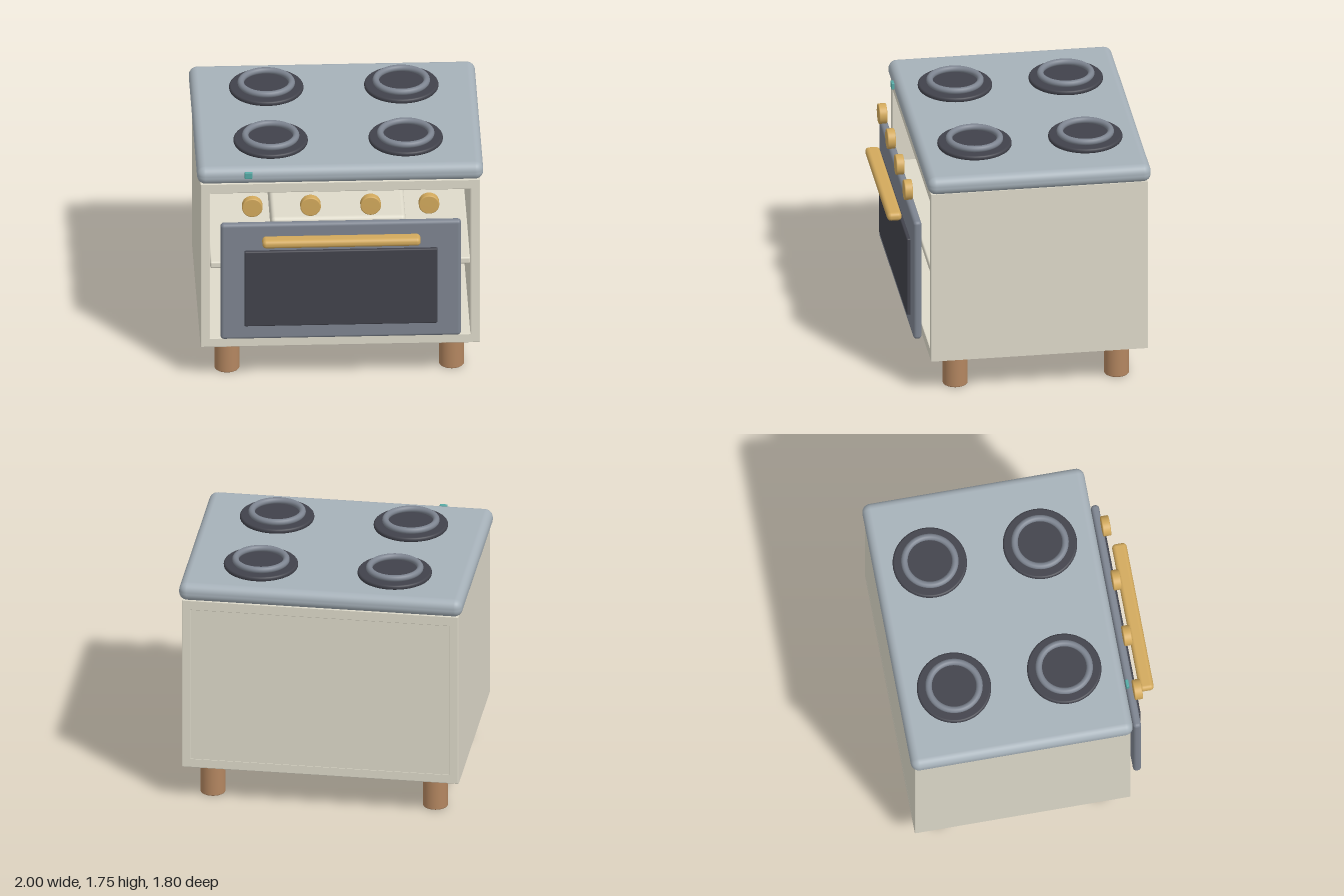
import * as THREE from 'three';
import { RoundedBoxGeometry } from 'three/addons/geometries/RoundedBoxGeometry.js';

const paint = (color) => new THREE.MeshStandardMaterial({ color });

export function createModel() {
  const cream = paint(0xdedaca), steel = paint(0xa6b1b9), slate = paint(0x7d8490);
  const dark = paint(0x41424b), brass = paint(0xd2a95c), wood = paint(0xb38660), teal = paint(0x55aaa5);
  const model = new THREE.Group();

  const add = (name, geometry, material, x = 0, y = 0, z = 0, parent = model) => {
    const mesh = new THREE.Mesh(geometry, material);
    mesh.name = name;
    mesh.position.set(x, y, z);
    parent.add(mesh);
    return mesh;
  };

  // Rounded box given by its limits on each axis
  const block = (name, material, [x0, x1], [y0, y1], [z0, z1], radius) =>
    add(name, new RoundedBoxGeometry(x1 - x0, y1 - y0, z1 - z0, 4, radius), material,
      (x0 + x1) / 2, (y0 + y1) / 2, (z0 + z1) / 2);

  // Upright disc with softened rims
  const softDisc = (radius, height, bevel) => {
    const points = [new THREE.Vector2(0, 0)];
    for (const [cy, start] of [[bevel, -Math.PI / 2], [height - bevel, 0]]) {
      for (let i = 0; i <= 4; i++) {
        const a = start + (i / 4) * Math.PI / 2;
        points.push(new THREE.Vector2(radius - bevel + Math.cos(a) * bevel, cy + Math.sin(a) * bevel));
      }
    }
    points.push(new THREE.Vector2(0, height));
    return new THREE.LatheGeometry(points, 48);
  };

  const rectangle = (Type, x, y0, y1) => {
    const path = new Type();
    path.moveTo(-x, y0);
    path.lineTo(x, y0);
    path.lineTo(x, y1);
    path.lineTo(-x, y1);
    path.closePath();
    return path;
  };

  // Open-fronted cabinet: four walls in one ring, closed at the back
  const ring = rectangle(THREE.Shape, 0.97, 0.27, 1.55);
  ring.holes.push(rectangle(THREE.Path, 0.915, 0.33, 1.485));
  add('cabinetWalls', new THREE.ExtrudeGeometry(ring, {
    depth: 1.52, bevelThickness: 0.006, bevelSize: 0.006, bevelSegments: 2,
  }), cream, 0, 0, -0.871);
  block('cabinetBack', cream, [-0.93, 0.93], [0.31, 1.5], [-0.876, -0.81], 0.005);

  // Inside the cabinet
  block('ovenShelf', cream, [-0.908, 0.908], [0.88, 0.93], [-0.82, 0.64], 0.012);
  block('ovenDish', cream, [-0.47, 0.47], [0.93, 1.1], [-0.54, 0.33], 0.03);

  // Cooktop
  block('cooktop', steel, [-1, 1], [1.55, 1.68], [-0.9, 0.675], 0.058);

  // Burners
  for (const x of [-0.472, 0.472]) {
    for (const z of [-0.507, 0.275]) {
      const burner = new THREE.Group();
      burner.name = 'burner';
      burner.position.set(x, 1.678, z);
      model.add(burner);
      add('burnerPlate', softDisc(0.26, 0.034, 0.014), dark, 0, 0, 0, burner);
      add('burnerRing', new THREE.TorusGeometry(0.178, 0.023, 16, 48), steel === slate ? steel : slate,
        0, 0.054, 0, burner).rotation.x = Math.PI / 2;
    }
  }

  // Door, window and handle
  block('ovenDoor', slate, [-0.84, 0.84], [0.375, 1.285], [0.7, 0.757], 0.024);
  block('doorWindow', dark, [-0.675, 0.675], [0.49, 1.08], [0.75, 0.782], 0.01);
  block('doorHandle', brass, [-0.553, 0.553], [1.16, 1.222], [0.797, 0.9], 0.028);

  // Control knobs
  for (const x of [-0.62, -0.213, 0.207, 0.615]) {
    add('controlKnob', softDisc(0.072, 0.058, 0.008), brass, x, 1.435, 0.738).rotation.x = Math.PI / 2;
  }

  // Indicator light
  block('indicatorLight', teal, [-0.67, -0.615], [1.615, 1.665], [0.68, 0.702], 0.006);

  // Legs
  for (const x of [-0.785, 0.785]) {
    for (const z of [-0.682, 0.457]) add('leg', softDisc(0.088, 0.272, 0.01), wood, x, 0, z);
  }

  return model;
}
